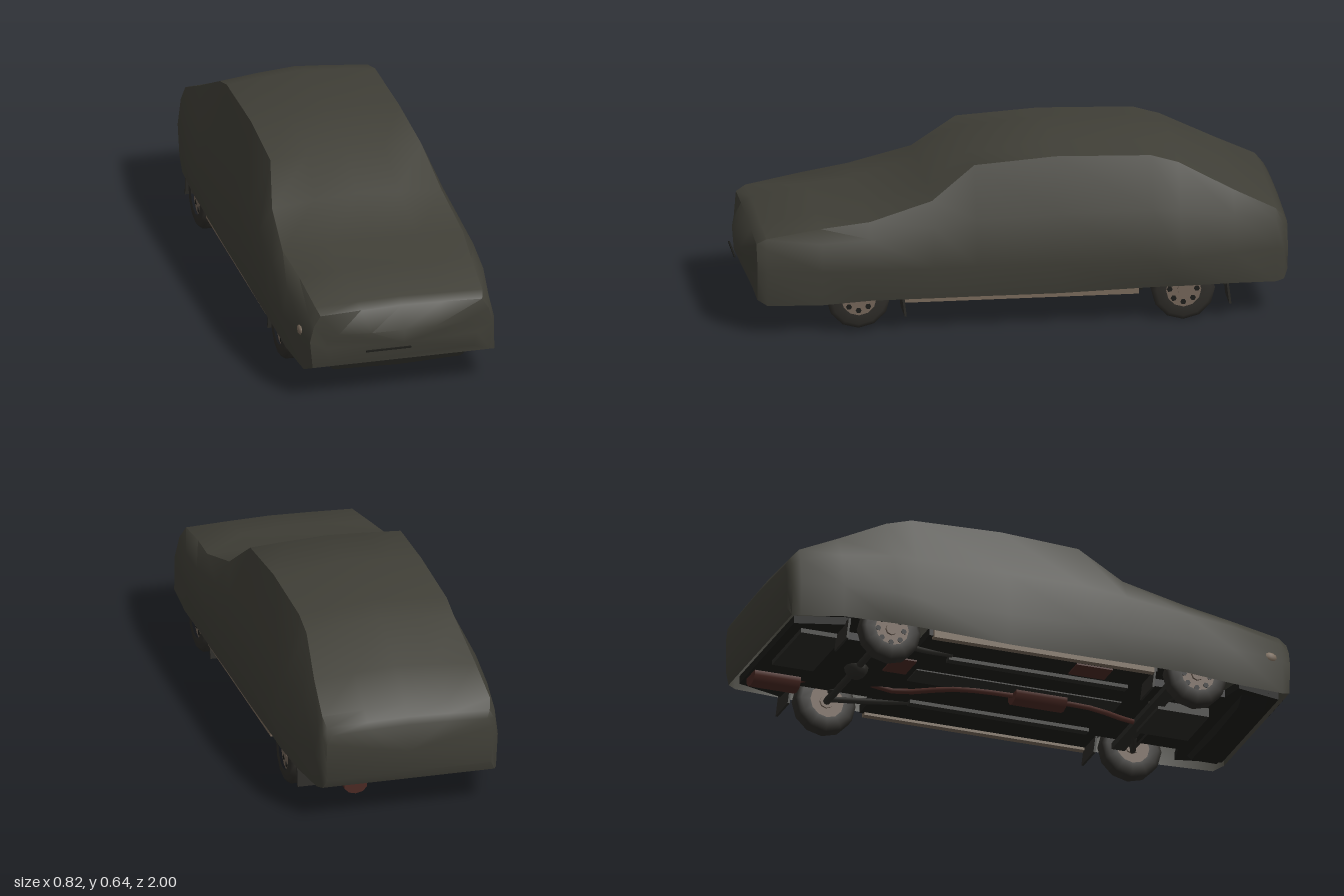
import * as THREE from 'three';
import { toCreasedNormals } from 'three/addons/utils/BufferGeometryUtils.js';

const mat = (name, color, side = THREE.FrontSide) => {
  const m = new THREE.MeshStandardMaterial({ color, side });
  m.name = name;
  return m;
};

export function createModel() {
  const cloth = mat('cover cloth', 0x403f37, THREE.DoubleSide);
  const under = mat('underbody', 0x1d1d1a);
  const metal = mat('chassis metal', 0x2c2b27);
  const rubber = mat('tyre rubber', 0x2f2d29);
  const alloy = mat('wheel alloy', 0x75665a);
  const paint = mat('sill paint', 0x7a6b5c);
  const rust = mat('exhaust rust', 0x4c2a24);

  const group = new THREE.Group();
  group.name = 'coveredCar';
  const add = (name, geo, material, x = 0, y = 0, z = 0, parent = group) => {
    const m = new THREE.Mesh(geo, material);
    m.name = name;
    m.position.set(x, y, z);
    parent.add(m);
    return m;
  };
  const box = (name, w, h, d, material, x, y, z) =>
    add(name, new THREE.BoxGeometry(w, h, d), material, x, y, z);
  const tube = (name, pts, r, material) => add(name, new THREE.TubeGeometry(
    new THREE.CatmullRomCurve3(pts.map(p => new THREE.Vector3(...p))), 20, r, 6), material);

  // Cover: each station is z, then x,y of hem, widest point, shoulder and roof edge, then centre height
  const stations = [
    [1.0, .27, .16, .285, .21, .28, .24, .24, .265, .27],
    [.955, .335, .135, .345, .24, .33, .30, .305, .34, .35],
    [.92, .36, .118, .358, .25, .34, .325, .315, .36, .37],
    [.72, .375, .118, .388, .25, .37, .35, .325, .395, .41],
    [.54, .38, .13, .40, .25, .38, .365, .34, .42, .43],
    [.31, .38, .13, .395, .25, .37, .40, .32, .485, .51],
    [.15, .378, .13, .395, .25, .365, .42, .285, .605, .62],
    [-.15, .378, .13, .398, .25, .362, .43, .28, .625, .648],
    [-.5, .38, .14, .408, .25, .362, .43, .28, .615, .64],
    [-.6, .38, .14, .408, .25, .362, .42, .28, .585, .612],
    [-.8, .37, .14, .378, .26, .35, .395, .305, .48, .505],
    [-.955, .34, .13, .347, .26, .335, .36, .318, .405, .42],
    [-.985, .325, .135, .335, .25, .325, .34, .308, .37, .38],
    [-1.0, .31, .17, .315, .24, .312, .31, .295, .345, .355]
  ];
  const pos = [], idx = [], n = 11;
  stations.forEach(([z, ...s], row) => {
    const half = [[s[0], s[1]], [s[2], s[3]], [s[4], s[5]], [s[6], s[7]],
      [s[6] / 2, s[7] + (s[8] - s[7]) * .6]];
    const dent = z < .1 && z > -.55 ? .018 : 0; // right flank hangs slightly slack
    const ring = [...half, [0, s[8]],
      ...half.slice().reverse().map(([x, y], i) => [-x + (i === 2 || i === 3 ? dent : 0), y])];
    ring.forEach(([x, y]) => pos.push(x, y, row ? z : z - .5 * x * x));
  });
  for (let r = 0; r < stations.length - 1; r++) {
    for (let i = 0; i < n - 1; i++) {
      const a = r * n + i, b = a + n;
      idx.push(a, b, a + 1, b, b + 1, a + 1);
    }
  }
  // Nose and tail closures
  const last = (stations.length - 1) * n, c = pos.length / 3;
  pos.push(0, .22, 1, 0, .25, -1);
  for (let i = 0; i < n; i++) {
    const j = (i + 1) % n;
    idx.push(c, i, j, c + 1, last + j, last + i);
  }
  // Tucked hem below the nose and tail
  idx.push(0, n - 1, 2 * n - 1, 0, 2 * n - 1, n);
  idx.push(last, last - n, last - 1, last, last - 1, last + n - 1);
  const shell = new THREE.BufferGeometry();
  shell.setAttribute('position', new THREE.Float32BufferAttribute(pos, 3));
  shell.setIndex(idx);
  add('cover', toCreasedNormals(shell, 0.75), cloth);

  // Floor pan with wheel cut-outs
  const pan = new THREE.Shape();
  const edge = [[.28, -.96], [.34, -.76], [.22, -.76], [.22, -.46], [.36, -.46], [.36, .43],
    [.24, .43], [.24, .74], [.33, .76], [.29, .93]];
  edge.forEach(([x, z], i) => i ? pan.lineTo(x, z) : pan.moveTo(x, z));
  edge.slice().reverse().forEach(([x, z]) => pan.lineTo(-x, z));
  pan.closePath();
  const panGeo = new THREE.ExtrudeGeometry(pan, { depth: .03, bevelEnabled: false });
  panGeo.rotateX(Math.PI / 2);
  add('floorPan', panGeo, under, 0, .155, 0);
  box('arch roof rear', .72, .01, .34, under, 0, .24, -.61);
  box('arch roof front', .70, .01, .34, under, 0, .25, .585);
  box('transmissionTunnel', .1, .02, .8, metal, -.02, .13, .0);
  box('engineSump', .22, .05, .2, metal, -.02, .115, .62);
  box('frontCrossMember', .56, .025, .05, metal, 0, .115, .52);
  box('fuelTank', .3, .025, .16, metal, -.1, .12, -.84);

  // Front valance
  const lip = new THREE.Shape();
  [[-.3, .14], [-.24, .09], [0, .082], [.24, .09], [.3, .14]]
    .forEach(([x, y], i) => i ? lip.lineTo(x, y) : lip.moveTo(x, y));
  add('frontValance', new THREE.ExtrudeGeometry(lip, { depth: .1, bevelEnabled: false }),
    under, 0, 0, .79);
  box('numberPlate', .17, .006, .006, under, -.06, .2, 1.0);
  const lamp = add('cornerLamp', new THREE.SphereGeometry(1, 8, 6), paint, -.357, .255, .87);
  lamp.scale.set(.014, .02, .03);

  // Wheels, sills, floor rails and mud flaps, mirrored
  const tyreGeo = new THREE.LatheGeometry([[.065, -.035], [.1, -.035], [.117, -.022],
    [.117, .022], [.1, .035], [.065, .035]].map(p => new THREE.Vector2(...p)), 12);
  const rimGeo = new THREE.CylinderGeometry(.074, .074, .046, 12);
  const hubGeo = new THREE.CylinderGeometry(.022, .026, .062, 8);
  const holeGeo = new THREE.CylinderGeometry(.011, .011, .004, 6);
  const axles = [['front', .585, .137], ['rear', -.61, .122]];
  for (const side of [1, -1]) {
    for (const [end, z, y] of axles) {
      const wheel = new THREE.Group();
      wheel.name = end + 'Wheel';
      wheel.position.set(side * .335, y, z);
      wheel.rotation.z = -side * Math.PI / 2;
      add('tyre', tyreGeo, rubber, 0, 0, 0, wheel);
      add('rim', rimGeo, alloy, 0, 0, 0, wheel);
      add('hub', hubGeo, alloy, 0, 0, 0, wheel);
      for (let k = 0; k < 8; k++) {
        const a = k * Math.PI / 4;
        add('rimHole', holeGeo, under, Math.cos(a) * .05, .023, Math.sin(a) * .05, wheel);
      }
      group.add(wheel);
      const flap = box(end + 'MudFlap', .125, .08, .008, metal, side * .302, .098, z - .168);
      flap.rotation.x = .12;
    }
    box('sill', .025, .045, .86, paint, side * .36, .137, -.015);
    box('floorRail', .03, .018, .7, metal, side * .2, .12, .02);
    tube('frontArm', [[side * .3, .12, .585], [side * .2, .11, .55], [side * .1, .12, .5]], .012, metal);
    tube('trailingArm', [[side * .28, .12, -.61], [side * .24, .12, -.45], [side * .22, .13, -.32]], .012, metal);
    const spring = add('rearSpring', new THREE.CylinderGeometry(.022, .022, .1, 8), metal, side * .22, .17, -.61);
    spring.rotation.x = .15;
  }

  // Axles and prop shaft
  for (const [end, z, y] of axles) {
    const bar = add(end + 'Axle', new THREE.CylinderGeometry(.014, .014, .64, 8), metal, 0, y, z);
    bar.rotation.z = Math.PI / 2;
  }
  add('differential', new THREE.SphereGeometry(.045, 10, 8), metal, 0, .125, -.61);

  // Exhaust
  tube('exhaustPipe', [[.09, .13, .66], [.06, .115, .5], [0, .115, .3], [0, .115, .1],
    [.02, .115, -.2], [.12, .115, -.42], [.15, .16, -.61], [.19, .125, -.78]], .011, rust);
  for (const [name, x, z, len] of [['middleSilencer', 0, .1, .2], ['rearSilencer', .19, -.86, .18]]) {
    const can = add(name, new THREE.CylinderGeometry(.035, .035, len, 10), rust, x, .117, z);
    can.rotation.x = Math.PI / 2;
    can.scale.x = 1.3;
  }
  box('rightFloorPlate', .09, .006, .14, rust, -.28, .122, .2);
  box('rearFloorPlate', .12, .006, .09, rust, -.08, .122, -.47);
  return group;
}
